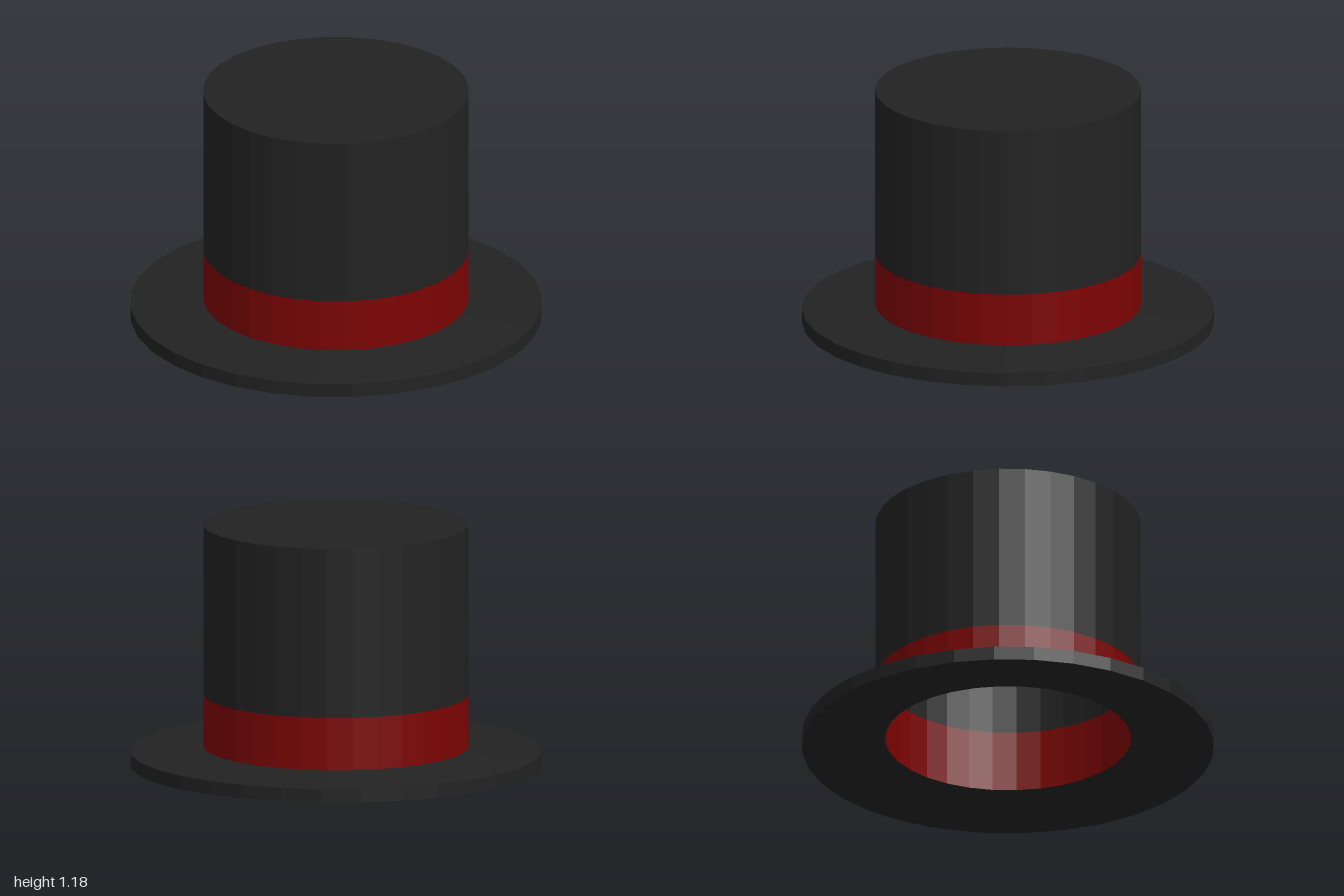
import * as THREE from 'three';

const SEGMENTS = 32;

// Faceted shell turned from a list of [radius, height] points.
function turned(name, color, profile) {
  const points = profile.map(([r, y]) => new THREE.Vector2(r, y));
  const material = new THREE.MeshStandardMaterial({
    color, flatShading: true, side: THREE.DoubleSide,
  });
  const mesh = new THREE.Mesh(new THREE.LatheGeometry(points, SEGMENTS), material);
  mesh.name = name;
  return mesh;
}

export function createModel() {
  const group = new THREE.Group();
  group.name = 'topHat';

  const black = 0x222222;
  const red = 0x7c0303;
  const outerR = 0.645, innerR = 0.597; // crown wall
  const brimY = 0.092, holeY = 0.043, bandY = 0.35, topY = 1.185;
  const ceilingY = topY - (outerR - innerR);

  // Brim: dished underside with the head opening, upright rim, top sloping up to the crown
  group.add(turned('brim', black, [
    [innerR, holeY], [1, 0], [1, 0.068], [outerR, brimY],
  ]));

  // Ribbon band: around the foot of the crown, and its lining inside the opening
  group.add(turned('band', red, [[outerR, brimY], [outerR, bandY]]));
  group.add(turned('bandLining', red, [[innerR, bandY], [innerR, holeY]]));

  // Crown: upright wall with a flat top, and the hollow inside it
  group.add(turned('crown', black, [[outerR, bandY], [outerR, topY], [0, topY]]));
  group.add(turned('crownLining', black, [[0, ceilingY], [innerR, ceilingY], [innerR, bandY]]));

  return group;
}
